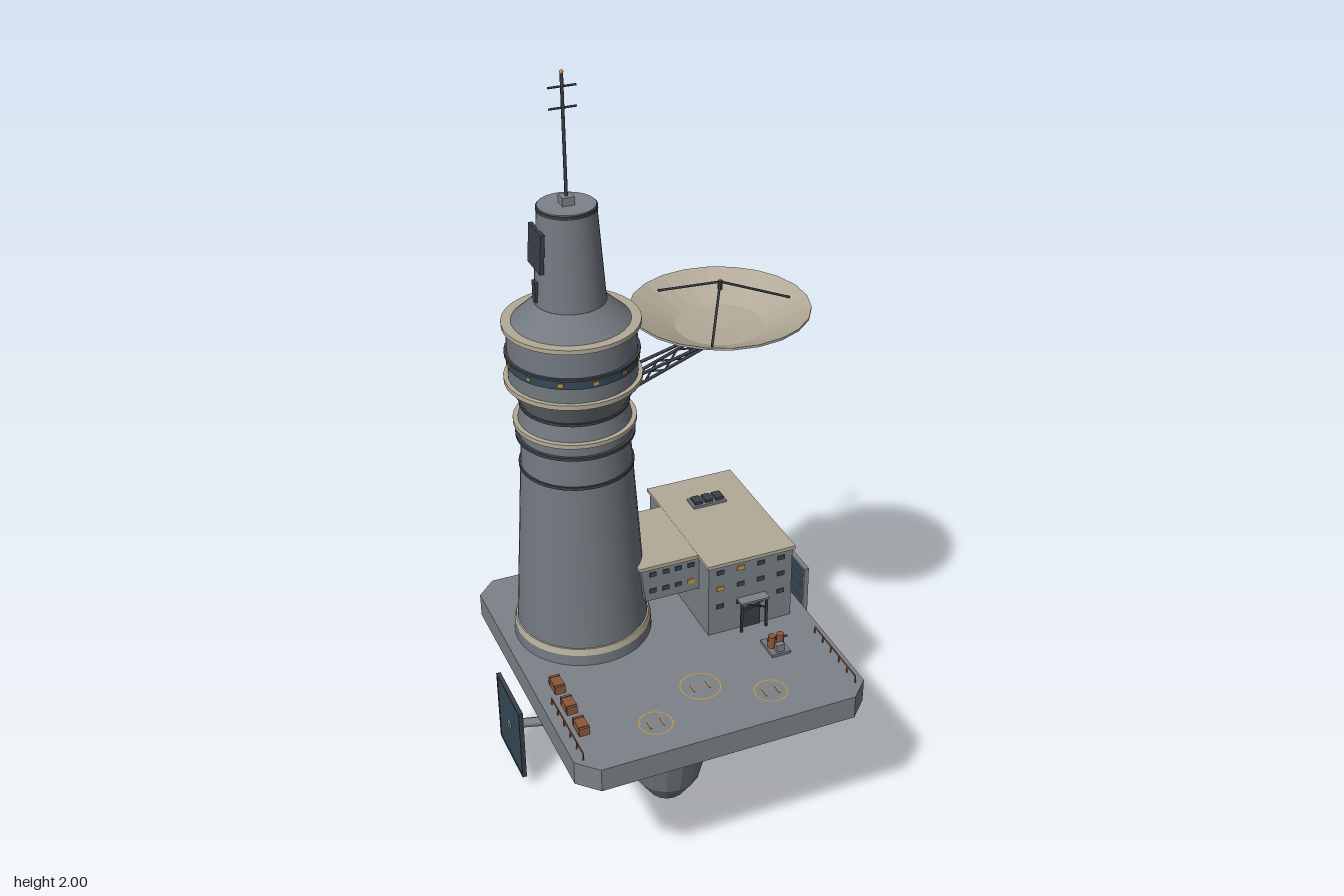
import * as THREE from 'three';

const mat = (name, color) => Object.assign(new THREE.MeshStandardMaterial({ color }), { name });

export function createModel() {
  const root = new THREE.Group();
  root.name = 'floatingStation';
  const grey = mat('steelGrey', 0x7c8288), mid = mat('towerGrey', 0x737980), dark = mat('darkSteel', 0x3a4048);
  const beige = mat('beige', 0xb3aa98), teal = mat('panelBlue', 0x354a57), brown = mat('rust', 0x8e5636);
  const gold = mat('markingGold', 0xc8983c), tan = mat('tankBeige', 0xa39a88);

  const V = (x, y, z) => new THREE.Vector3(x, y, z);
  const add = (name, geo, m, x = 0, y = 0, z = 0, parent = root) => {
    const mesh = new THREE.Mesh(geo, m);
    mesh.name = name;
    mesh.position.set(x, y, z);
    parent.add(mesh);
    return mesh;
  };
  const group = (name, x = 0, y = 0, z = 0) => {
    const g = new THREE.Group();
    g.name = name;
    g.position.set(x, y, z);
    root.add(g);
    return g;
  };
  const box = (name, m, w, h, d, x, y, z, parent = root) => add(name, new THREE.BoxGeometry(w, h, d), m, x, y, z, parent);
  const flat = (geo) => {
    const g = geo.index ? geo.toNonIndexed() : geo;
    g.computeVertexNormals();
    return g;
  };
  // Round section between two heights
  const drum = (name, m, r0, r1, y0, y1, parent, sides = 36) =>
    add(name, new THREE.CylinderGeometry(r1, r0, y1 - y0, sides), m, 0, (y0 + y1) / 2, 0, parent);
  // Round bar between two points
  const bar = (name, m, a, b, r, parent = root) => {
    const d = b.clone().sub(a), c = a.clone().add(b).multiplyScalar(0.5);
    const mesh = add(name, new THREE.CylinderGeometry(r, r, d.length(), 6), m, c.x, c.y, c.z, parent);
    mesh.quaternion.setFromUnitVectors(V(0, 1, 0), d.normalize());
    return mesh;
  };

  // Deck and faceted hull: loft of eight-sided rings
  const ring = (x0, x1, z0, z1, y, c) => [
    [x1, y, z1 - c], [x1 - c, y, z1], [x0 + c, y, z1], [x0, y, z1 - c],
    [x0, y, z0 + c], [x0 + c, y, z0], [x1 - c, y, z0], [x1, y, z0 + c]];
  const point = (x, y, z) => Array.from({ length: 8 }, () => [x, y, z]);
  const loft = (rings) => {
    const p = [];
    for (let k = 0; k < rings.length - 1; k++) {
      for (let i = 0; i < 8; i++) {
        const j = (i + 1) % 8, U = rings[k], L = rings[k + 1];
        p.push(...U[i], ...U[j], ...L[i], ...U[j], ...L[j], ...L[i]);
      }
    }
    const g = new THREE.BufferGeometry();
    g.setAttribute('position', new THREE.Float32BufferAttribute(p, 3));
    return flat(g);
  };
  const deckTop = ring(-0.445, 0.325, -0.413, 0.41, 0.515, 0.05);
  const deckLow = ring(-0.445, 0.325, -0.413, 0.41, 0.45, 0.05);
  const belly = ring(-0.30, 0.14, -0.25, 0.245, 0.34, 0.06);
  belly[4] = [-0.37, 0.34, -0.22];
  belly[5] = [-0.31, 0.34, -0.28];
  const hullLow = ring(-0.19, 0.07, -0.14, 0.14, 0.26, 0.07);
  add('deck', loft([point(-0.06, 0.515, 0), deckTop, deckLow]), grey);
  add('hull', loft([deckLow, belly, hullLow, point(-0.06, 0.26, 0)]), mid);

  // Keel pod
  const keel = group('keelPod', -0.06, 0, 0);
  [[0.05, 0.09, 0, 0.06], [0.09, 0.122, 0.06, 0.19], [0.122, 0.132, 0.19, 0.25], [0.132, 0.09, 0.25, 0.285]]
    .forEach(([a, b, y0, y1]) => {
      const m = drum('keelSection', mid, a, b, y0, y1, keel, 16);
      m.geometry = flat(m.geometry);
    });

  // Paired side vanes on swept arms
  for (const s of [-1, 1]) {
    const x = -0.06 + s * 0.36;
    bar('vaneArm', grey, V(-0.06 + s * 0.07, 0.235, -0.06), V(x, 0.16, -0.235), 0.014);
    box('vane', teal, 0.008, 0.215, 0.185, x, 0.157, -0.235);
    for (const t of [-1, 1]) {
      box('vaneEdge', dark, 0.012, 0.22, 0.005, x, 0.157, -0.235 + t * 0.093);
      box('vaneEdge', dark, 0.012, 0.005, 0.19, x, 0.157 + t * 0.108, -0.235);
    }
    box('vaneHub', grey, 0.018, 0.02, 0.02, x, 0.16, -0.235);
  }

  // Storage tank under the deck
  const tank = group('tank', 0.17, 0.335, -0.13);
  add('tankBody', new THREE.SphereGeometry(0.11, 20, 12), tan, 0, 0, 0, tank).scale.y = 0.77;
  drum('tankBand', dark, 0.112, 0.112, -0.004, 0.004, tank, 20);
  drum('tankFoot', dark, 0.035, 0.045, -0.09, -0.078, tank, 16);

  // Radiator panel on a lattice boom
  const P = (t, dy, dz) => V(0.16 + 0.272 * t, 0.335 + 0.03 * t + dy, -0.215 - 0.062 * t + dz);
  for (const dy of [-0.012, 0.012]) for (const dz of [-0.016, 0.016]) bar('boomRail', grey, P(0, dy, dz), P(1, dy, dz), 0.0035);
  for (let i = 0; i < 7; i++) {
    const s = i % 2 ? 1 : -1;
    for (const dy of [-0.012, 0.012]) bar('boomBrace', brown, P(i / 7, dy, s * 0.016), P((i + 1) / 7, dy, -s * 0.016), 0.003);
  }
  box('radiator', teal, 0.008, 0.2, 0.195, 0.437, 0.37, -0.277);
  for (const s of [-1, 1]) {
    box('radiatorFrame', grey, 0.014, 0.212, 0.008, 0.437, 0.37, -0.277 + s * 0.1);
    box('radiatorFrame', grey, 0.014, 0.006, 0.2, 0.437, 0.37 + s * 0.103, -0.277);
  }
  for (let i = 1; i < 6; i++) box('radiatorSlat', grey, 0.012, 0.003, 0.195, 0.437, 0.27 + i * 0.0335, -0.277);

  // Main tower, stacked from the deck up
  const tower = group('tower', -0.235, 0, -0.138);
  [['towerFoot', mid, 0.178, 0.176, 0.51, 0.545], ['footTrim', beige, 0.177, 0.172, 0.545, 0.562],
    ['towerShaft', mid, 0.168, 0.133, 0.56, 1.1], ['shaftRing', dark, 0.142, 0.142, 1.016, 1.024],
    ['shaftRing', dark, 0.146, 0.146, 1.1, 1.108], ['collar', mid, 0.138, 0.138, 1.1, 1.14],
    ['collarTrim', beige, 0.15, 0.15, 1.136, 1.147], ['neck', mid, 0.138, 0.128, 1.147, 1.19],
    ['neckRing', dark, 0.134, 0.134, 1.187, 1.194], ['flare', mid, 0.127, 0.16, 1.19, 1.25],
    ['flareTrim', beige, 0.166, 0.166, 1.25, 1.262], ['galleryDrum', mid, 0.155, 0.155, 1.26, 1.4],
    ['galleryWindowBand', teal, 0.158, 0.158, 1.3, 1.322], ['bandRim', dark, 0.162, 0.162, 1.322, 1.328],
    ['galleryTrim', beige, 0.165, 0.165, 1.394, 1.405], ['cupola', mid, 0.147, 0.086, 1.4, 1.455],
    ['upperTower', mid, 0.085, 0.069, 1.455, 1.685], ['topCap', dark, 0.071, 0.071, 1.68, 1.688],
    ['topPlate', grey, 0.068, 0.068, 1.688, 1.691]].forEach(([n, m, a, b, y0, y1]) => drum(n, m, a, b, y0, y1, tower));
  for (let i = 0; i < 12; i++) {
    const a = (i / 12) * Math.PI * 2;
    box('galleryLight', gold, 0.012, 0.008, 0.004, Math.sin(a) * 0.158, 1.311, Math.cos(a) * 0.158, tower).rotation.y = a;
  }

  // Mast with crossbars
  box('mastBase', grey, 0.03, 0.022, 0.03, 0, 1.7, 0, tower);
  bar('mast', dark, V(0, 1.7, 0), V(0, 1.995, 0), 0.004, tower);
  for (const y of [1.915, 1.963]) bar('mastCrossbar', dark, V(-0.033, y, 0), V(0.033, y, 0), 0.0025, tower);
  add('mastLight', new THREE.SphereGeometry(0.005, 8, 6), gold, 0, 1.995, 0, tower);

  // Side array on the upper tower
  box('sideArray', dark, 0.01, 0.095, 0.085, -0.077, 1.595, 0, tower).rotation.z = -0.07;
  for (const z of [-0.022, 0.022]) box('arrayBracket', dark, 0.02, 0.012, 0.01, -0.072, 1.59, z, tower);
  box('sideHatch', dark, 0.012, 0.05, 0.022, -0.082, 1.49, 0, tower);

  // Dish antenna with feed tripod and lattice arm
  const dish = group('dishAntenna', 0.147, 0, -0.138);
  const prof = [[0, 1.296], [0.11, 1.302], [0.222, 1.355], [0.222, 1.361], [0.11, 1.31], [0, 1.303]].map(([r, y]) => new THREE.Vector2(r, y));
  add('dishBowl', flat(new THREE.LatheGeometry(prof, 22)), beige, 0, 0, 0, dish);
  for (let i = 0; i < 3; i++) {
    const a = (i / 3) * Math.PI * 2;
    bar('feedLeg', dark, V(Math.cos(a) * 0.188, 1.347, Math.sin(a) * 0.188), V(0, 1.425, 0), 0.003, dish);
  }
  bar('feed', dark, V(0, 1.405, 0), V(0, 1.428, 0), 0.006, dish);
  drum('dishHub', dark, 0.03, 0.045, 1.28, 1.298, dish, 12);
  const A = (t, dy, z) => V(-0.115 + 0.265 * t, 1.19 + 0.1 * t + dy * (1 - t), -0.138 + z);
  for (const z of [-0.025, 0.025]) for (const dy of [0, 0.03]) bar('dishArmRail', dark, A(0, dy, z), A(1, dy, z), 0.004);
  for (let i = 0; i < 5; i++) {
    for (const s of [-1, 1]) bar('dishArmBrace', dark, A(i / 5, 0, -s * 0.025), A((i + 1) / 5, 0, s * 0.025), 0.0025);
  }

  // Block house and raised link to the tower
  box('blockHouse', grey, 0.235, 0.21, 0.39, 0.1605, 0.62, -0.155);
  box('blockRoof', beige, 0.246, 0.01, 0.402, 0.1605, 0.729, -0.155);
  const side = new THREE.Shape([[-0.118, 0.725], [-0.105, 0.625], [0.05, 0.625], [0.05, 0.725]].map(([x, y]) => new THREE.Vector2(x, y)));
  add('link', new THREE.ExtrudeGeometry(side, { depth: 0.235, bevelEnabled: false }), grey, 0, 0, -0.256);
  box('linkRoof', beige, 0.17, 0.01, 0.247, -0.04, 0.7285, -0.138);

  // Windows, a few of them lit
  let n = 0;
  const pane = (w, d, x, y, z) => box('window', n++ % 5 === 2 ? gold : teal, w, 0.012, d, x, y, z);
  for (const y of [0.705, 0.655, 0.6]) {
    for (let i = 0; i < 4; i++) for (const z of [0.041, -0.351]) pane(0.02, 0.004, 0.075 + i * 0.057, y, z);
    for (let i = 0; i < 6; i++) pane(0.004, 0.02, 0.279, y, 0.005 - i * 0.064);
    if (y > 0.62) for (let i = 0; i < 4; i++) for (const z of [-0.02, -0.257]) pane(0.018, 0.004, -0.085 + i * 0.035, y, z);
  }

  // Entrance with braced porch
  box('door', dark, 0.05, 0.06, 0.006, 0.163, 0.546, 0.042);
  for (const x of [0.128, 0.198]) box('porchPost', dark, 0.006, 0.09, 0.006, x, 0.56, 0.06);
  box('porchRoof', grey, 0.08, 0.006, 0.03, 0.163, 0.607, 0.053);
  for (const s of [-1, 1]) bar('porchBrace', dark, V(0.163 - s * 0.035, 0.575, 0.06), V(0.163 + s * 0.035, 0.605, 0.06), 0.0025);

  // Roof vents
  box('ventBase', grey, 0.095, 0.008, 0.045, 0.16, 0.737, -0.235);
  for (const x of [0.13, 0.16, 0.19]) box('vent', dark, 0.022, 0.01, 0.032, x, 0.744, -0.235);

  // Cargo crates
  for (const z of [0.085, 0.17, 0.255]) {
    box('crate', brown, 0.027, 0.022, 0.05, -0.387, 0.526, z);
    for (const s of [-1, 1]) box('crateStrap', dark, 0.0285, 0.0235, 0.003, -0.387, 0.526, z + s * 0.018);
  }

  // Landing pad markings
  for (const [x, z, r] of [[-0.06, 0.222, 0.052], [-0.215, 0.307, 0.043], [0.093, 0.307, 0.043]]) {
    add('padCircle', new THREE.RingGeometry(r - 0.003, r, 32).rotateX(-Math.PI / 2), gold, x, 0.517, z);
    for (const s of [-1, 1]) box('padBar', gold, 0.003, 0.002, 0.028, x + s * r * 0.4, 0.516, z);
  }

  // Deck rails
  for (const x of [-0.421, 0.3]) {
    bar('railTop', brown, V(x, 0.535, 0.14), V(x, 0.535, 0.36), 0.002);
    for (let i = 0; i < 6; i++) bar('railPost', brown, V(x, 0.512, 0.14 + i * 0.044), V(x, 0.535, 0.14 + i * 0.044), 0.0018);
  }

  // Deck winch
  const winch = group('winch', 0.18, 0.515, 0.155);
  box('winchBase', mid, 0.052, 0.008, 0.07, 0, 0.004, 0, winch);
  box('winchConsole', grey, 0.022, 0.022, 0.014, 0, 0.018, 0.022, winch);
  for (const x of [-0.012, 0.012]) drum('winchDrum', brown, 0.01, 0.01, 0.008, 0.042, winch, 12).position.x = x;
  bar('winchAxle', dark, V(-0.024, 0.03, 0), V(0.032, 0.03, 0), 0.003, winch);

  return root;
}
